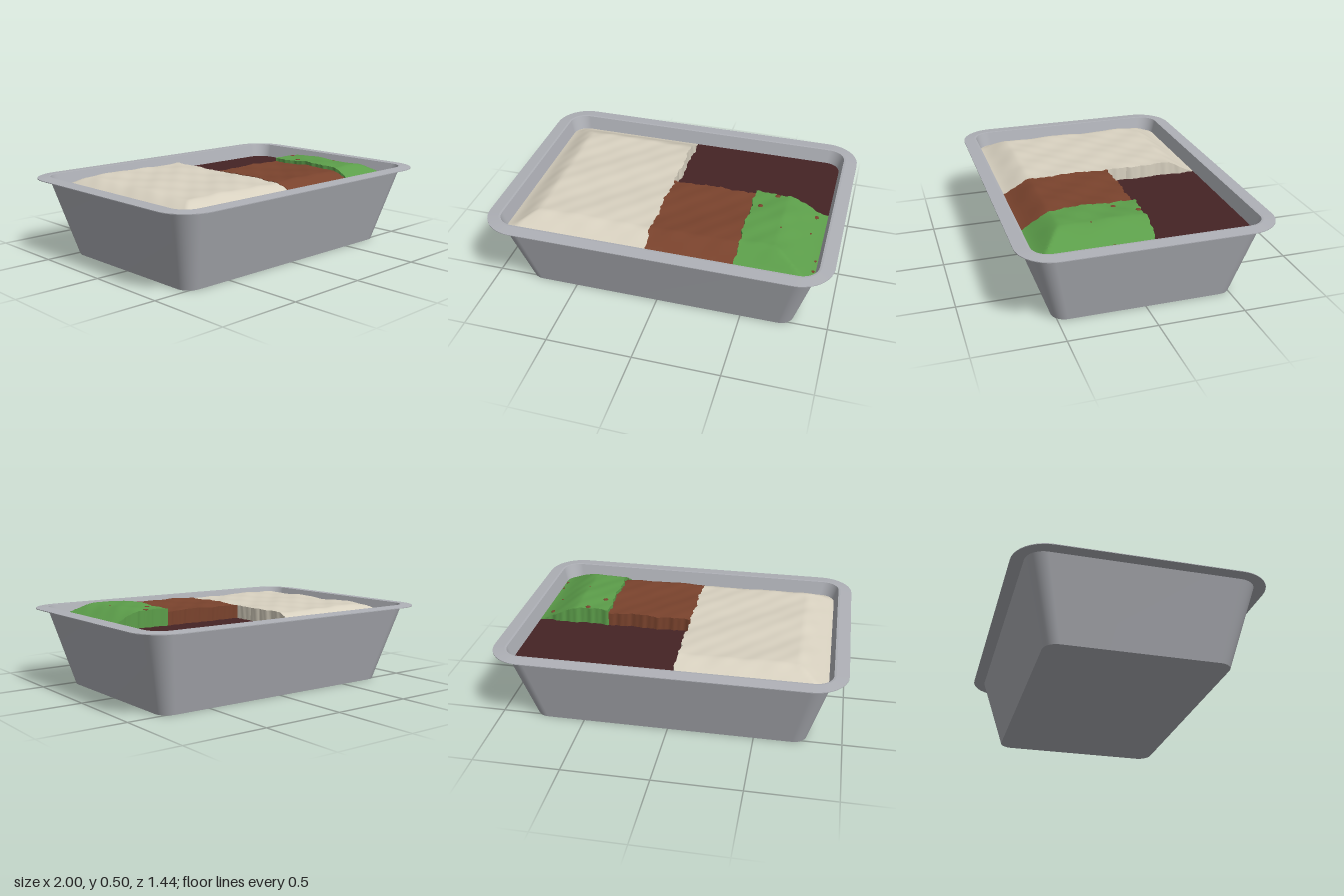
import * as THREE from 'three';
import { toCreasedNormals } from 'three/addons/utils/BufferGeometryUtils.js';

const W = 0.895, D = 0.615, R = 0.09, EDGE = 0.39; // outline of the food where it meets the tray

const material = (name, color) => Object.assign(new THREE.MeshStandardMaterial({ color }), { name });

function build(points, index) {
  const g = new THREE.BufferGeometry();
  g.setAttribute('position', new THREE.Float32BufferAttribute(points, 3));
  g.setIndex(index);
  g.computeVertexNormals();
  return g;
}

// Rounded rectangle ring: half width, half depth, corner radius, height
function ring([w, d, r, y], steps = 10) {
  const pts = [];
  [[1, 1], [-1, 1], [-1, -1], [1, -1]].forEach(([sx, sz], q) => {
    for (let i = 0; i <= steps; i++) {
      const a = (q + i / steps) * Math.PI / 2;
      pts.push(sx * (w - r) + r * Math.cos(a), y, sz * (d - r) + r * Math.sin(a));
    }
  });
  return pts;
}

// Band of faces between two rings
function band(a, b) {
  const A = ring(a), B = ring(b), n = A.length / 3, index = [];
  for (let i = 0; i < n; i++) {
    const j = (i + 1) % n;
    index.push(i, n + i, j, j, n + i, n + j);
  }
  return build([...A, ...B], index);
}

// Uneven border between two portions
const ragged = (t, s) =>
  0.005 * Math.sin(t * 23 + s) + 0.004 * Math.sin(t * 61 + s * 2) + 0.003 * Math.sin(t * 137 + s * 3);

// Gentle unevenness of the food surface
const bumps = (x, z) =>
  0.003 * Math.sin(9 * x + 14 * z) + 0.002 * Math.sin(23 * x - 17 * z + 1) + 0.0012 * Math.sin(41 * x + 37 * z);

// Keep a point inside the rounded outline
function clampToOutline(x, z) {
  const cx = Math.abs(x) - (W - R), cz = Math.abs(z) - (D - R), len = Math.hypot(cx, cz);
  if (cx > 0 && cz > 0 && len > R) {
    return [Math.sign(x) * (W - R + cx * R / len), Math.sign(z) * (D - R + cz * R / len)];
  }
  return [x, z];
}

// Mounded height, falling off toward the tray wall
function mound(top, bandX, bandZ) {
  return (x, z) => {
    const cx = Math.abs(x) - (W - R), cz = Math.abs(z) - (D - R);
    let t = Math.min(1, (W - Math.abs(x)) / bandX, (D - Math.abs(z)) / bandZ);
    if (cx > 0 && cz > 0) t = Math.min(t, (R - Math.hypot(cx, cz)) / bandZ);
    t = Math.max(t, 0);
    const f = 0.5 * t + 0.5 * t * t * (3 - 2 * t);
    return EDGE + f * (top - EDGE + bumps(x, z));
  };
}

// Grid surface with a skirt hanging from its border
function portion(x0, x1, z0, z1, height, nx, nz) {
  const pts = [], index = [], cols = nz + 3;
  for (let i = -1; i <= nx + 1; i++) {
    for (let j = -1; j <= nz + 1; j++) {
      const u = THREE.MathUtils.clamp(i / nx, 0, 1), v = THREE.MathUtils.clamp(j / nz, 0, 1);
      const roughX = THREE.MathUtils.lerp(x0(0), x1(0), u);
      let z = THREE.MathUtils.lerp(z0(roughX), z1(roughX), v);
      let x = THREE.MathUtils.lerp(x0(z), x1(z), u);
      [x, z] = clampToOutline(x, z);
      const skirt = i < 0 || j < 0 || i > nx || j > nz;
      pts.push(x, skirt ? EDGE - 0.005 : height(x, z), z);
    }
  }
  for (let i = 0; i < nx + 2; i++) {
    for (let j = 0; j < nz + 2; j++) {
      const p = i * cols + j, q = p + cols;
      index.push(p, p + 1, q, q, p + 1, q + 1);
    }
  }
  return toCreasedNormals(build(pts, index), 0.7);
}

export function createModel() {
  const model = new THREE.Group();
  const metal = material('tray grey', 0xaeb0b6);
  const cream = material('mash cream', 0xd8d1c0);
  const maroon = material('sauce maroon', 0x452325);
  const brown = material('meat brown', 0x7a432d);
  const green = material('vegetable green', 0x5c9e4a);
  const add = (parent, name, geometry, mat) => {
    const mesh = new THREE.Mesh(geometry, mat);
    mesh.name = name;
    parent.add(mesh);
    return mesh;
  };

  // Tray: rings followed from the base up, over the rim and down the inside
  const tray = new THREE.Group();
  tray.name = 'tray';
  model.add(tray);
  const profile = [
    [0, 0, 0, 0],
    [0.8, 0.52, 0.08, 0],
    [0.925, 0.648, 0.11, 0.465],
    [1, 0.72, 0.2, 0.463],
    [1, 0.72, 0.2, 0.467],
    [0.93, 0.65, 0.115, 0.473],
    [0.918, 0.638, 0.1, 0.472],
    [W, D, R, EDGE],
    [0.79, 0.51, 0.075, 0.01],
    [0, 0, 0, 0.01],
  ];
  const names = ['base', 'outerWall', 'rimUnderside', 'rimEdge', 'rimTop', 'rimLip',
    'upperInnerWall', 'lowerInnerWall', 'innerFloor'];
  names.forEach((name, i) => add(tray, name, band(profile[i], profile[i + 1]), metal));

  // Borders between the portions
  const left = () => -W, right = () => W, back = () => -D, front = () => D;
  const mashSide = z => -0.05 + ragged(z, 1);
  const greenSide = z => 0.46 + ragged(z, 4);
  const sauceSide = x => -0.04 + ragged(x, 7);

  // Food portions
  const greenHeight = mound(0.493, 0.24, 0.17);
  add(model, 'mash', portion(left, mashSide, back, front, mound(0.469, 0.17, 0.17), 50, 80), cream);
  add(model, 'meat', portion(mashSide, greenSide, sauceSide, front, mound(0.472, 0.17, 0.17), 40, 50), brown);
  add(model, 'vegetables', portion(greenSide, right, sauceSide, front, greenHeight, 36, 50), green);
  add(model, 'sauce', portion(() => -0.055, right, back, () => 0, () => EDGE, 30, 24), maroon);

  // Brown flecks on the vegetables
  [[0.51, 0.1, 0.016], [0.59, -0.02, 0.016], [0.83, 0.025, 0.016], [0.82, 0.19, 0.008],
    [0.88, 0.4, 0.009], [0.88, 0.49, 0.011], [0.66, 0.27, 0.006]].forEach(([x, z, r]) => {
    const fleck = add(model, 'fleck', new THREE.SphereGeometry(r, 8, 6), brown);
    fleck.scale.y = 0.3;
    fleck.position.set(x, greenHeight(x, z), z);
  });

  return model;
}
